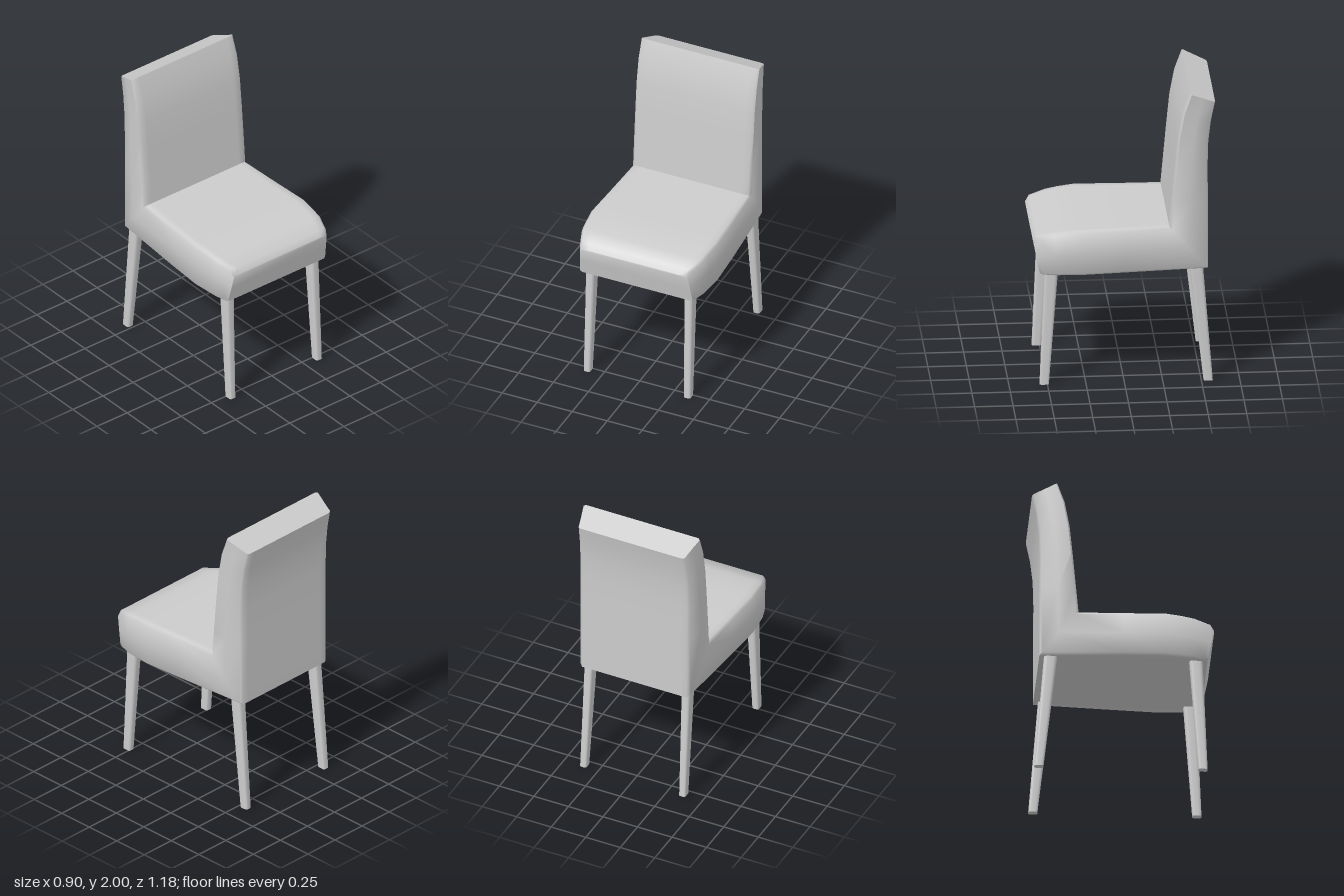
import * as THREE from 'three';
import { toCreasedNormals } from 'three/addons/utils/BufferGeometryUtils.js';

const material = new THREE.MeshStandardMaterial({ color: 0xcccccc });

// Half width of the upholstery at each depth: [z, half width]
const WIDTHS = [[-0.6, 0.38], [-0.54, 0.393], [-0.43, 0.422], [-0.29, 0.422], [0.27, 0.452],
  [0.46, 0.432], [0.55, 0.402], [0.6, 0.38]];

function halfWidth(z) {
  let i = 1;
  while (i < WIDTHS.length - 1 && z > WIDTHS[i][0]) i++;
  const [z0, w0] = WIDTHS[i - 1], [z1, w1] = WIDTHS[i];
  return THREE.MathUtils.mapLinear(z, z0, z1, w0, w1);
}

// Sections from the seat front, round the mitred rear corner, to the top of the back:
// [sitting side z, y, outer side z, y]
const SECTIONS = [
  [0.593, 0.99, 0.55, 0.778], [0.568, 1.03, 0.525, 0.77], [0.46, 1.055, 0.45, 0.771],
  [0.38, 1.068, 0.38, 0.773], [0.27, 1.078, 0.27, 0.776], [0, 1.08, 0, 0.78],
  [-0.29, 1.085, -0.543, 0.782], [-0.305, 1.25, -0.543, 1.25], [-0.328, 1.5, -0.54, 1.48],
  [-0.348, 1.7, -0.545, 1.66], [-0.38, 1.87, -0.562, 1.8], [-0.427, 2, -0.59, 1.93],
];

// Rounded edge of one section: [position from sitting side to outer side, inset]
const EDGE = [[0, 0.06], [0, 0.016], [0.055, 0], [0.5, 0], [0.95, 0], [1, 0.014], [1, 0.06]];

function upholsteryGeometry() {
  const positions = [], index = [];
  const m = EDGE.length, n = m * 2;
  for (const [zi, yi, zo, yo] of SECTIONS) {
    const side = EDGE.map(([t, inset]) => {
      const z = THREE.MathUtils.lerp(zi, zo, t);
      return [halfWidth(z) - inset, THREE.MathUtils.lerp(yi, yo, t), z];
    });
    side.forEach(p => positions.push(...p));
    [...side].reverse().forEach(([x, y, z]) => positions.push(-x, y, z));
  }
  const quad = (a, b, c, d) => index.push(a, b, c, a, c, d);
  for (let i = 0; i < SECTIONS.length - 1; i++) {
    for (let j = 0; j < n; j++) {
      const k = (j + 1) % n;
      quad(i * n + j, i * n + k, (i + 1) * n + k, (i + 1) * n + j);
    }
  }
  // Front face of the seat and top face of the back
  const end = (SECTIONS.length - 1) * n;
  for (let k = 1; k < m - 2; k++) {
    const l = n - 1 - k;
    quad(k, l, l - 1, k + 1);
    quad(end + k, end + k + 1, end + l - 1, end + l);
  }
  const geometry = new THREE.BufferGeometry();
  geometry.setAttribute('position', new THREE.Float32BufferAttribute(positions, 3));
  geometry.setIndex(index);
  return toCreasedNormals(geometry, 0.95);
}

// Tapered leg with a rounded square section; foot and top are [xMin, xMax, zMin, zMax]
function legGeometry(foot, top, height) {
  const r = 0.28, shape = new THREE.Shape();
  shape.moveTo(r, 0).lineTo(1 - r, 0).quadraticCurveTo(1, 0, 1, r);
  shape.lineTo(1, 1 - r).quadraticCurveTo(1, 1, 1 - r, 1);
  shape.lineTo(r, 1).quadraticCurveTo(0, 1, 0, 1 - r);
  shape.lineTo(0, r).quadraticCurveTo(0, 0, r, 0);
  const geometry = new THREE.ExtrudeGeometry(shape, { depth: 1, bevelEnabled: false, curveSegments: 4 });
  geometry.rotateX(-Math.PI / 2);
  const p = geometry.attributes.position;
  for (let i = 0; i < p.count; i++) {
    const u = p.getX(i), t = p.getY(i), v = p.getZ(i) + 1;
    const [x0, x1, z0, z1] = foot.map((f, k) => THREE.MathUtils.lerp(f, top[k], t));
    p.setXYZ(i, THREE.MathUtils.lerp(x0, x1, u), t * height, THREE.MathUtils.lerp(z0, z1, v));
  }
  return toCreasedNormals(geometry, 0.8);
}

export function createModel() {
  const chair = new THREE.Group();
  chair.name = 'chair';

  const add = (name, geometry) => {
    const mesh = new THREE.Mesh(geometry, material);
    mesh.name = name;
    chair.add(mesh);
  };

  add('upholsteredSeatAndBack', upholsteryGeometry());

  // Legs, mirrored left and right
  const mirror = ([x0, x1, z0, z1], s) => (s > 0 ? [x0, x1, z0, z1] : [-x1, -x0, z0, z1]);
  for (const [s, label] of [[1, 'Left'], [-1, 'Right']]) {
    add(`front${label}Leg`, legGeometry(
      mirror([0.335, 0.382, 0.49, 0.55], s), mirror([0.32, 0.382, 0.43, 0.517], s), 0.79));
    add(`back${label}Leg`, legGeometry(
      mirror([0.335, 0.382, -0.575, -0.515], s), mirror([0.32, 0.382, -0.512, -0.425], s), 0.79));
  }
  return chair;
}
